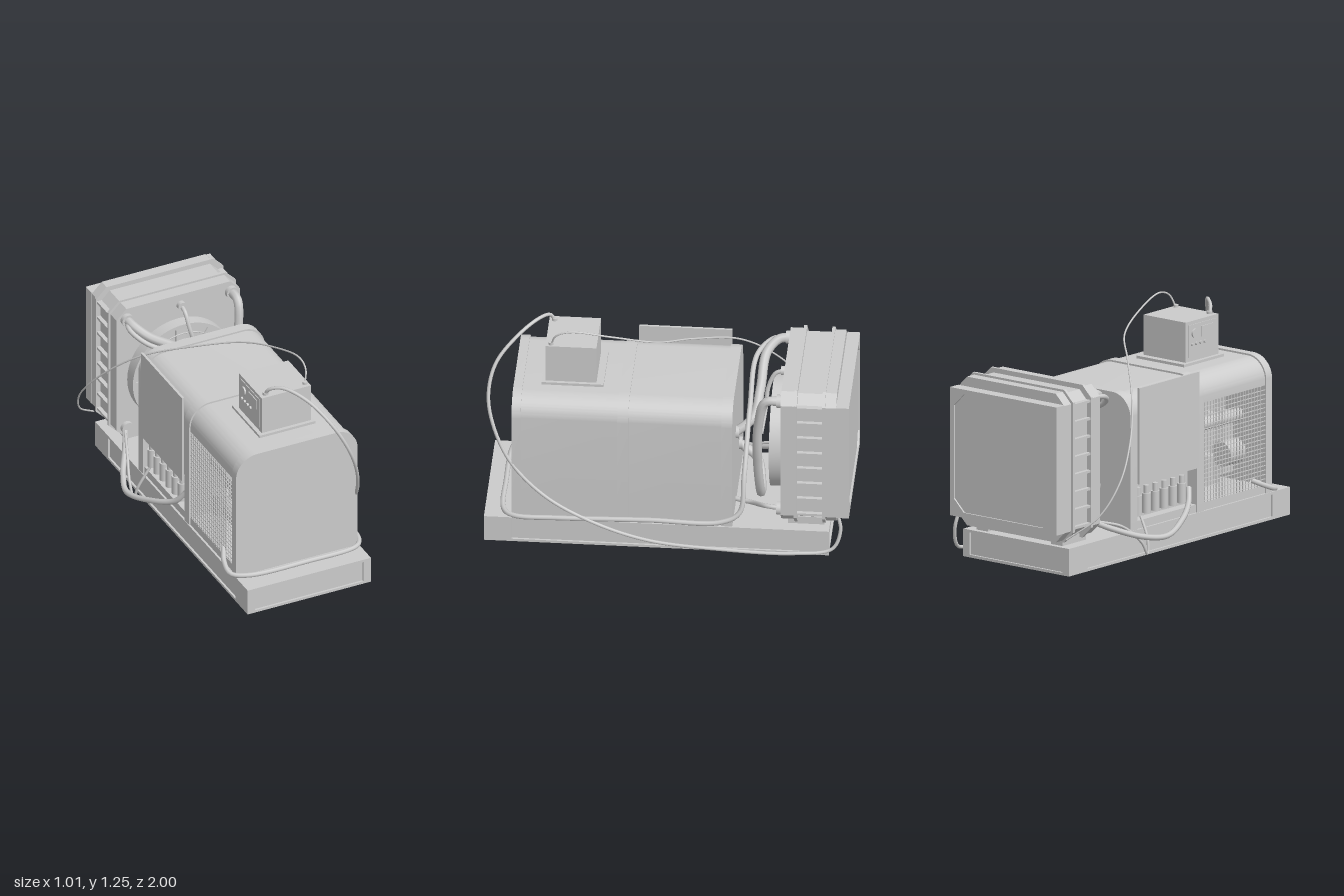
import * as THREE from 'three';
import { toCreasedNormals } from 'three/addons/utils/BufferGeometryUtils.js';

const CX = 0.065; // the cabinet, base and radiator share this centre line
const mat = new THREE.MeshStandardMaterial({ color: 0xcccccc, side: THREE.DoubleSide });

export function createModel() {
  const root = new THREE.Group();
  let parent = root;
  const group = (name) => {
    parent = new THREE.Group();
    parent.name = name;
    root.add(parent);
  };
  const add = (name, geo) => {
    const m = new THREE.Mesh(geo, mat);
    m.name = name;
    parent.add(m);
    return m;
  };
  // box given by its limits
  const box = (name, x0, x1, y0, y1, z0, z1) =>
    add(name, new THREE.BoxGeometry(x1 - x0, y1 - y0, z1 - z0))
      .position.set((x0 + x1) / 2, (y0 + y1) / 2, (z0 + z1) / 2);
  const cyl = (name, r, len, x, y, z, axis = 'y', n = 20) => {
    const m = add(name, new THREE.CylinderGeometry(r, r, len, n));
    m.position.set(x, y, z);
    if (axis === 'z') m.rotation.x = Math.PI / 2;
    if (axis === 'x') m.rotation.z = Math.PI / 2;
    return m;
  };
  const slab = (name, shape, z0, z1) => {
    const g = new THREE.ExtrudeGeometry(shape, { depth: z1 - z0, bevelEnabled: false, curveSegments: 12 });
    g.translate(0, 0, z0);
    return add(name, toCreasedNormals(g, 0.5));
  };
  const tube = (name, r, pts, seg = 64) => add(name, new THREE.TubeGeometry(
    new THREE.CatmullRomCurve3(pts.map((p) => new THREE.Vector3(...p))), seg, r, 8));
  const poly = (pts) => new THREE.Shape(pts.map((p) => new THREE.Vector2(...p)));
  const rect = (x0, x1, y0, y1) => poly([[x0, y0], [x1, y0], [x1, y1], [x0, y1]]);
  const octagon = (w, y0, y1, c) => poly([
    [CX - w + c, y0], [CX + w - c, y0], [CX + w, y0 + c], [CX + w, y1 - c],
    [CX + w - c, y1], [CX - w + c, y1], [CX - w, y1 - c], [CX - w, y0 + c]]);

  // Base with a recessed panel on each side
  group('base');
  box('baseCore', -0.298, 0.428, 0, 0.15, -0.878, 0.988);
  const frameX = rect(-0.31, 0.44, 0, 0.155);
  frameX.holes.push(rect(-0.265, 0.395, 0.015, 0.14));
  slab('frontFrame', frameX, 0.988, 1);
  slab('backFrame', frameX, -0.89, -0.878);
  const frameZ = rect(-1, 0.89, 0, 0.155);
  frameZ.holes.push(rect(-0.85, 0.73, 0.015, 0.14));
  for (const x of [-0.31, 0.428]) {
    const m = slab('sideFrame', frameZ, 0, 0.012);
    m.rotation.y = Math.PI / 2;
    m.position.x = x;
  }
  box('baseTop', -0.31, 0.44, 0.145, 0.155, -0.89, 1);

  // Cabinet: round-shouldered end plates and a middle band, with a shell open on one side
  group('cabinet');
  const arch = (x0, x1, y0, y1, r) => {
    const s = new THREE.Shape();
    s.moveTo(x0, y0);
    s.lineTo(x1, y0);
    s.lineTo(x1, y1 - r);
    s.absarc(x1 - r, y1 - r, r, 0, Math.PI / 2);
    s.lineTo(x0 + r, y1);
    s.absarc(x0 + r, y1 - r, r, Math.PI / 2, Math.PI);
    s.lineTo(x0, y0);
    return s;
  };
  const plate = arch(-0.307, 0.432, 0.155, 0.92, 0.13);
  slab('frontPlate', plate, 0.8, 0.85);
  slab('middleBand', plate, 0.21, 0.27);
  slab('backPlate', plate, -0.36, -0.3);
  const shell = new THREE.Shape();
  shell.moveTo(-0.298, 0.155);
  shell.lineTo(0.422, 0.155);
  shell.lineTo(0.422, 0.79);
  shell.absarc(0.302, 0.79, 0.12, 0, Math.PI / 2);
  shell.lineTo(-0.178, 0.91);
  shell.absarc(-0.178, 0.79, 0.12, Math.PI / 2, Math.PI);
  shell.lineTo(-0.298, 0.76);
  shell.lineTo(-0.278, 0.76);
  shell.lineTo(-0.278, 0.79);
  shell.absarc(-0.178, 0.79, 0.1, Math.PI, Math.PI / 2, true);
  shell.lineTo(0.302, 0.89);
  shell.absarc(0.302, 0.79, 0.1, Math.PI / 2, 0, true);
  shell.lineTo(0.402, 0.2);
  shell.lineTo(-0.298, 0.2);
  slab('frontShell', shell, 0.27, 0.8);
  slab('backShell', shell, -0.3, 0.21);
  box('hatch', -0.322, -0.308, 0.41, 0.95, -0.3, 0.21);

  // Mesh guard
  group('meshGuard');
  for (let z = 0.285; z < 0.8; z += 0.025) box('meshUpright', -0.3, -0.295, 0.2, 0.76, z - 0.002, z + 0.002);
  for (let y = 0.21; y < 0.76; y += 0.025) box('meshBar', -0.3, -0.295, y - 0.002, y + 0.002, 0.27, 0.8);

  // Engine behind the guard
  group('engine');
  box('engineBlock', -0.12, 0.25, 0.26, 0.58, 0.33, 0.74);
  box('engineHead', -0.08, 0.2, 0.58, 0.72, 0.36, 0.72);
  box('sump', -0.08, 0.2, 0.2, 0.26, 0.4, 0.68);
  for (let i = 0; i < 4; i++) {
    cyl('exhaustStub', 0.025, 0.1, -0.13, 0.6, 0.4 + i * 0.09, 'x');
    cyl('plug', 0.015, 0.08, 0.05, 0.75, 0.4 + i * 0.09);
  }
  cyl('manifold', 0.035, 0.36, -0.19, 0.6, 0.53, 'z');
  cyl('filter', 0.05, 0.13, -0.19, 0.36, 0.42);
  cyl('alternator', 0.07, 0.13, -0.18, 0.4, 0.63, 'z');

  // Terminals below the hatch
  group('terminals');
  box('terminalBoard', -0.24, -0.22, 0.2, 0.76, -0.3, 0.21);
  for (let i = 0; i < 6; i++) {
    const z = -0.26 + i * 0.075;
    cyl('terminal', 0.024, 0.11, -0.275, 0.28, z);
    cyl('terminalCap', 0.015, 0.05, -0.275, 0.355, z);
  }

  // Control box with knobs on its side
  group('controlBox');
  box('mountingPlate', -0.09, 0.25, 0.905, 0.925, 0.36, 0.7);
  box('controlHousing', -0.067, 0.232, 0.92, 1.15, 0.4, 0.68);
  box('controlPanel', -0.071, -0.06, 0.95, 1.13, 0.42, 0.66);
  for (let i = 0; i < 4; i++) cyl('knob', 0.009, 0.016, -0.074, 1.02, 0.45 + i * 0.035, 'x', 12);
  cyl('dial', 0.025, 0.014, -0.073, 1.08, 0.47, 'x');
  box('display', -0.076, -0.068, 1.05, 1.11, 0.53, 0.63);
  cyl('cableSocket', 0.016, 0.02, -0.03, 1.155, 0.65);
  cyl('cableSocket', 0.014, 0.02, 0.21, 1.155, 0.65);

  // Radiator: chamfered casing, two bands, side ladders and a rear frame
  group('radiator');
  const casing = octagon(0.375, 0.19, 1.025, 0.06);
  slab('frontCasing', casing, -0.7, -0.625);
  slab('core', octagon(0.36, 0.205, 1.01, 0.055), -0.86, -0.7);
  slab('backCasing', casing, -0.93, -0.86);
  for (const z of [-0.715, -0.87]) slab('band', octagon(0.387, 0.18, 1.037, 0.063), z, z + 0.017);
  for (let i = 0; i < 8; i++) {
    const y = 0.265 + i * 0.0985;
    for (const s of [-1, 1]) {
      const x = CX + s * 0.366;
      box('ladderRung', x - 0.017, x + 0.017, y - 0.007, y + 0.007, -0.86, -0.71);
    }
  }
  const rear = rect(CX - 0.378, CX + 0.378, 0.25, 0.97);
  rear.holes.push(octagon(0.35, 0.278, 0.942, 0.07));
  slab('rearFrame', rear, -1, -0.93);
  box('rearPanel', CX - 0.36, CX + 0.36, 0.265, 0.955, -0.99, -0.925);
  for (const x of [-0.2, 0.33]) box('foot', x - 0.04, x + 0.04, 0.15, 0.2, -0.86, -0.66);

  // Fan and its guard
  group('fan');
  const ring = new THREE.Shape().absarc(CX, 0.565, 0.31, 0, Math.PI * 2);
  ring.holes.push(new THREE.Path().absarc(CX, 0.565, 0.29, 0, Math.PI * 2, true));
  const shroud = new THREE.ExtrudeGeometry(ring, { depth: 0.075, bevelEnabled: false, curveSegments: 40 });
  shroud.translate(0, 0, -0.63);
  add('shroud', toCreasedNormals(shroud, 0.5));
  for (let r = 0.09; r < 0.29; r += 0.04)
    add('guardRing', new THREE.TorusGeometry(r, 0.004, 6, 40)).position.set(CX, 0.565, -0.56);
  cyl('hub', 0.06, 0.07, CX, 0.565, -0.59, 'z');
  for (let i = 0; i < 6; i++) {
    const blade = add('blade', new THREE.BoxGeometry(0.08, 0.22, 0.008).translate(0, 0.16, 0).rotateY(0.4));
    blade.position.set(CX, 0.565, -0.595);
    blade.rotation.z = i * Math.PI / 3;
    const spoke = add('guardSpoke', new THREE.BoxGeometry(0.008, 0.25, 0.008).translate(0, 0.17, 0));
    spoke.position.set(CX, 0.565, -0.56);
    spoke.rotation.z = i * Math.PI / 3 + 0.5;
  }

  // Coolant hoses with their collars
  group('hoses');
  for (const [x, y] of [[-0.25, 0.96], [0.385, 0.96], [0.08, 0.96], [0.385, 0.26], [-0.25, 0.26]])
    cyl('radiatorCollar', x === 0.08 ? 0.025 : 0.036, 0.03, x, y, -0.615, 'z');
  for (const [x, y] of [[0.165, 0.6], [-0.06, 0.38]]) cyl('cabinetCollar', 0.035, 0.02, x, y, -0.368, 'z');
  tube('upperHose', 0.026, [[-0.25, 0.96, -0.62], [-0.24, 0.95, -0.56], [-0.18, 0.9, -0.5],
    [0, 0.78, -0.48], [0.12, 0.67, -0.45], [0.165, 0.6, -0.36]]);
  tube('lowerHose', 0.026, [[0.385, 0.96, -0.62], [0.385, 0.95, -0.54], [0.37, 0.8, -0.5], [0.33, 0.55, -0.49],
    [0.22, 0.25, -0.5], [0.06, 0.22, -0.49], [-0.04, 0.3, -0.46], [-0.06, 0.38, -0.36]]);
  tube('fillHose', 0.012, [[0.08, 0.96, -0.62], [0.08, 0.94, -0.57], [0.09, 0.85, -0.53], [0.12, 0.75, -0.52],
    [0.2, 0.62, -0.5]]);
  tube('bottomHose', 0.013, [[0.385, 0.26, -0.62], [0.37, 0.26, -0.54], [0.25, 0.2, -0.45], [0.2, 0.19, -0.34]]);
  tube('returnHose', 0.014, [[-0.25, 0.95, -0.62], [-0.27, 0.94, -0.54], [-0.2, 0.88, -0.45], [0.1, 0.72, -0.43],
    [0.36, 0.45, -0.42], [0.435, 0.25, -0.4], [0.455, 0.195, -0.3], [0.458, 0.19, 0.1], [0.462, 0.18, 0.6],
    [0.45, 0.175, 0.83], [0.4, 0.175, 0.89], [0.1, 0.175, 0.905], [-0.25, 0.175, 0.89], [-0.335, 0.18, 0.84],
    [-0.335, 0.21, 0.76], [-0.3, 0.25, 0.68]], 160);

  // Cables
  group('cables');
  tube('powerCable', 0.016, [[-0.26, 0.25, -0.62], [-0.31, 0.2, -0.52], [-0.4, 0.14, -0.36], [-0.445, 0.125, -0.22],
    [-0.39, 0.17, -0.02], [-0.32, 0.23, 0.12], [-0.28, 0.3, 0.17]]);
  tube('looseCable', 0.008, [[-0.27, 0.25, -0.6], [-0.33, 0.2, -0.45], [-0.37, 0.1, -0.34], [-0.37, 0.025, -0.29],
    [-0.355, 0.1, -0.27], [-0.28, 0.24, -0.25]]);
  tube('longCable', 0.01, [[-0.03, 1.15, 0.65], [-0.02, 1.19, 0.67], [0.04, 1.21, 0.72], [0.14, 1.16, 0.83],
    [0.24, 1.03, 0.95], [0.32, 0.87, 0.985], [0.38, 0.7, 0.95], [0.425, 0.5, 0.85], [0.455, 0.31, 0.66],
    [0.475, 0.17, 0.4], [0.492, 0.08, 0.1], [0.497, 0.045, -0.3], [0.49, 0.035, -0.7], [0.465, 0.06, -0.91],
    [0.445, 0.17, -0.955], [0.43, 0.26, -0.94]], 140);
  tube('thinCable', 0.005, [[0.21, 1.15, 0.65], [0.23, 1.22, 0.62], [0.232, 1.248, 0.54], [0.19, 1.2, 0.32],
    [0.1, 1.12, 0.08], [-0.07, 1.04, -0.1], [-0.3, 0.9, -0.34], [-0.44, 0.72, -0.52], [-0.5, 0.52, -0.68],
    [-0.45, 0.34, -0.8], [-0.31, 0.21, -0.91]], 120);

  return root;
}
